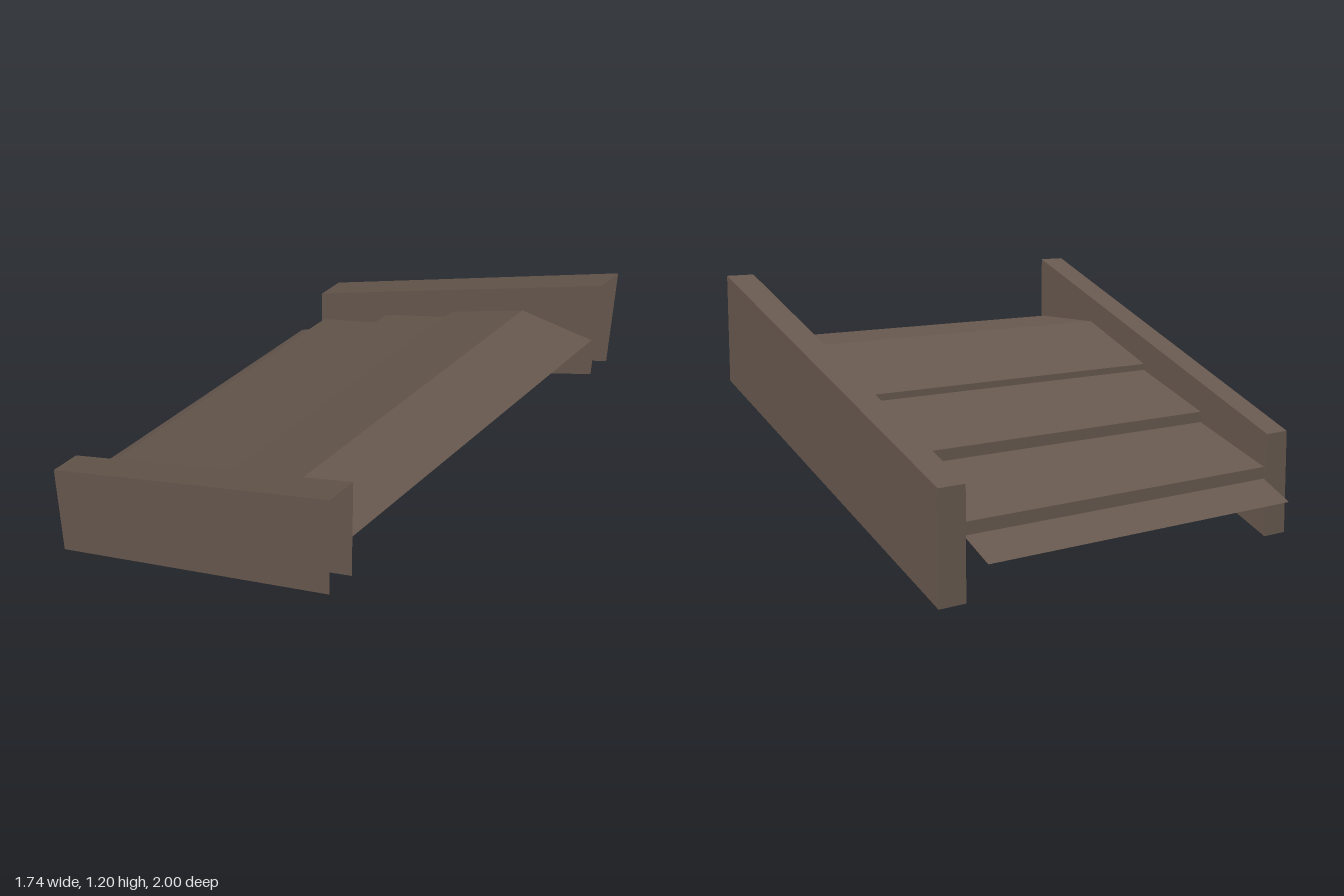
import * as THREE from 'three';

const wood = new THREE.MeshStandardMaterial({ color: 0x68594f, side: THREE.DoubleSide });
wood.name = 'dark brown wood';

// Thin sheet joining two matching point rows, one flat quad per segment
function sheet(name, rowA, rowB) {
  const pos = [];
  for (let i = 0; i < rowA.length - 1; i++) {
    const a = rowA[i], b = rowA[i + 1], c = rowB[i + 1], d = rowB[i];
    pos.push(...a, ...b, ...c, ...a, ...c, ...d);
  }
  const geo = new THREE.BufferGeometry();
  geo.setAttribute('position', new THREE.Float32BufferAttribute(pos, 3));
  geo.computeVertexNormals();
  const mesh = new THREE.Mesh(geo, wood);
  mesh.name = name;
  return mesh;
}

// Sheet from an x-y profile spanning the width between the side boards
const W = 0.865;
const span = (name, profile) => sheet(name,
  profile.map(([x, y]) => [x, y, W]),
  profile.map(([x, y]) => [x, y, -W]));

// Sloping hollow side board, open underneath and at the high end
function sideBoard(name, inner, outer) {
  const board = new THREE.Group();
  board.name = name;
  const section = (x, y) => [[x, y, outer], [x, y + 0.48, outer], [x, y + 0.48, inner], [x, y, inner]];
  const low = section(-0.731, 0), high = section(0.872, 0.718);
  // wind so that the faces point outwards on either side
  const [p, q] = outer > 0 ? [high, low] : [low, high];
  board.add(sheet('boardShell', p, q));
  board.add(sheet('boardLowEnd', [low[0], low[1]], [low[3], low[2]]));
  return board;
}

export function createModel() {
  const model = new THREE.Group();
  model.name = 'steppedRamp';

  model.add(sideBoard('leftSideBoard', W, 1), sideBoard('rightSideBoard', -W, -1));

  // Overlapping steps: back x, flat height, nose x, nose top, nose bottom, underside at back
  const steps = [
    [-0.31, 0.48, -0.717, 0.325, 0.27, 0.472],
    [0.085, 0.69, -0.31, 0.53, 0.48, 0.652],
    [0.48, 0.9, 0.085, 0.72, 0.69, 0.833],
  ];
  steps.forEach(([bx, flat, nx, top, bottom, under], i) => {
    model.add(span('step' + (i + 1), [
      [bx + 0.375, flat], [bx, flat], [nx, top], [nx, bottom], [bx, under], [bx, flat],
    ]));
  });

  // Lowest lip, continuing the underside of the first step
  model.add(span('bottomLip', [[-0.717, 0.27], [-0.872, 0.187]]));
  return model;
}
